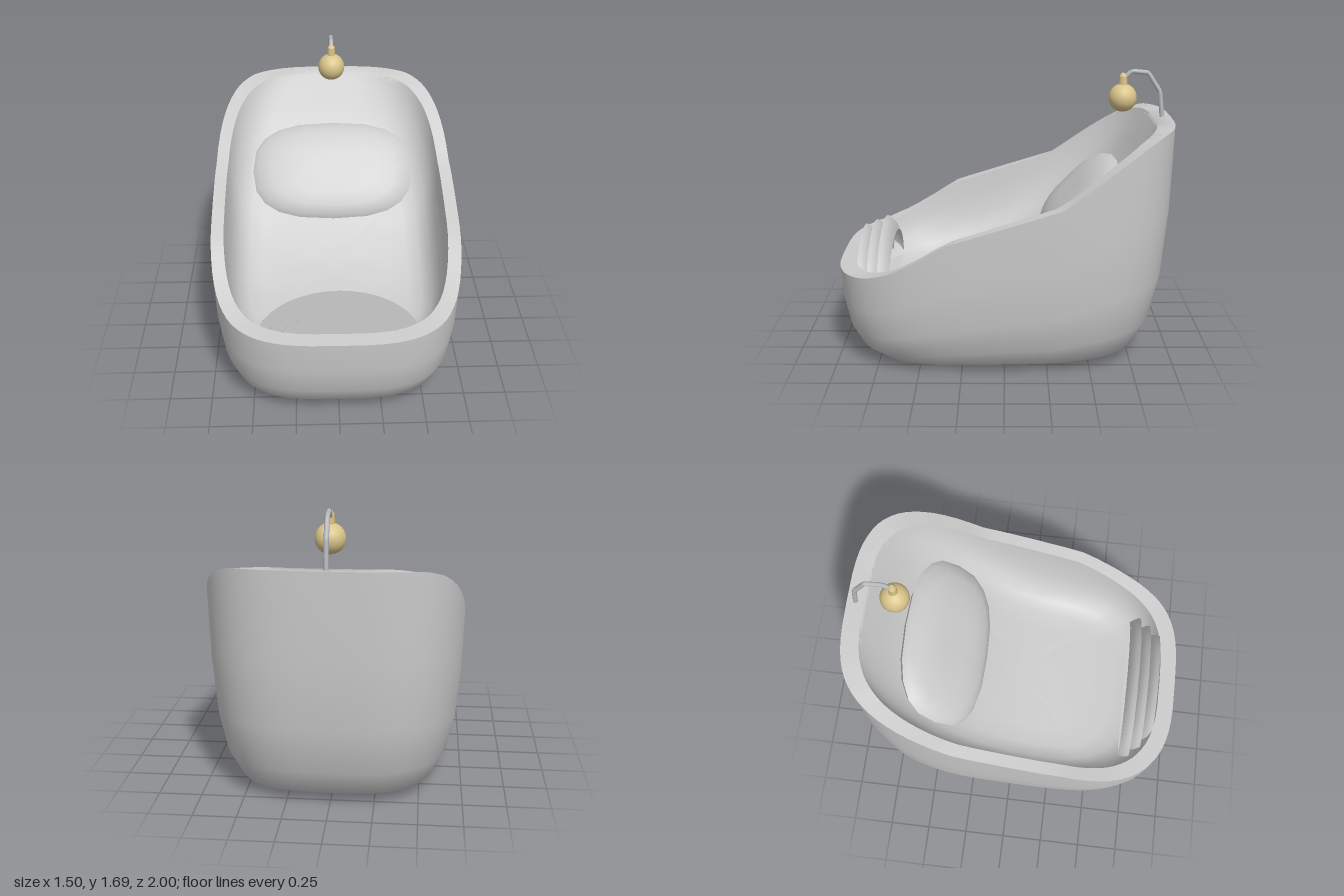
import * as THREE from 'three';
import { toCreasedNormals } from 'three/addons/utils/BufferGeometryUtils.js';

const V = (x, y, z) => new THREE.Vector3(x, y, z);

// Piecewise linear lookup through [key, value] pairs with rising keys
function lerpTable(table, k) {
  if (k <= table[0][0]) return table[0][1];
  for (let i = 1; i < table.length; i++) {
    const [k0, v0] = table[i - 1], [k1, v1] = table[i];
    if (k <= k1) return v0 + (v1 - v0) * (k - k0) / (k1 - k0);
  }
  return table[table.length - 1][1];
}

// Joins closed loops of points into one surface
function loft(rings, crease) {
  const n = rings[0].length, index = [];
  for (let i = 0; i < rings.length - 1; i++) {
    for (let j = 0; j < n; j++) {
      const k = (j + 1) % n;
      const a = i * n + j, b = i * n + k, c = a + n, d = b + n;
      index.push(a, c, b, b, c, d);
    }
  }
  const geo = new THREE.BufferGeometry().setFromPoints(rings.flat());
  geo.setIndex(index);
  return toCreasedNormals(geo, crease);
}

// Rounded rectangle outline in the ground plane
function superRing(rx, rz, n, power) {
  const bend = (v) => Math.sign(v) * Math.pow(Math.abs(v), 2 / power);
  return Array.from({ length: n }, (_, i) => {
    const a = (i / n) * Math.PI * 2;
    return V(rx * bend(Math.cos(a)), 0, rz * bend(Math.sin(a)));
  });
}

const RIM = [[-1, 1.41], [-0.9, 1.395], [-0.8, 1.35], [-0.65, 1.255], [-0.5, 1.15], [-0.33, 1.025],
  [0.33, 0.82], [0.5, 0.715], [0.65, 0.635], [0.8, 0.585], [0.9, 0.57], [1, 0.56]];
const BED = [[-0.9, 1.32], [-0.72, 1.08], [-0.45, 0.8], [-0.2, 0.59], [0, 0.47], [0.2, 0.395],
  [0.5, 0.345], [0.9, 0.34]];
// [outline scale, share of the rim height]
const WALL = [[0, 0], [0.5, 0.002], [0.68, 0.012], [0.8, 0.05], [0.89, 0.165], [0.95, 0.36],
  [0.985, 0.65], [1, 1]];
const INSIDE = [[1, 1], [0.985, 0.75], [0.95, 0.45], [0.89, 0.2], [0.8, 0.05], [0.68, 0],
  [0.5, 0], [0.33, 0], [0.16, 0], [0, 0]];

function tubGeometry() {
  const outer = superRing(0.75, 1, 80, 3.3);
  const inner = superRing(0.675, 0.9, 80, 3.3);
  const rings = WALL.map(([s, f]) => outer.map((p) => V(p.x * s, f * lerpTable(RIM, p.z), p.z * s)));
  for (const [s, f] of INSIDE) {
    rings.push(inner.map((p) => {
      const bed = lerpTable(BED, p.z * s), rim = lerpTable(RIM, p.z * 1.04);
      return V(p.x * s, bed + (rim - bed) * f, p.z * s);
    }));
  }
  return loft(rings, 1.0);
}

function pillowGeometry() {
  const profile = [[0, -0.07], [0.7, -0.07], [0.93, -0.045], [1, 0], [0.94, 0.03], [0.78, 0.058],
    [0.55, 0.076], [0.25, 0.084], [0, 0.074]];
  const outline = superRing(0.52, 0.33, 20, 2.7);
  return loft(profile.map(([s, y]) => outline.map((p) => V(p.x * s, y, p.z * s))), 0.9);
}

// Corrugated hood, open toward the head end: three ridges with upright fronts
function blanketGeometry() {
  const rings = [[0.88, 0, 0], [0.88, 0.3, 0.22], [0.88, 0.36, 0.28]];
  for (let i = 2; i >= 0; i--) {
    const z = 0.75 + i * 0.065, rx = 0.49 - i * 0.045, ry = 0.375 - i * 0.025;
    rings.push([z, rx, ry], [z - 0.02, rx * 0.99, ry - 0.015], [z - 0.045, rx * 0.97, ry - 0.045],
      [z - 0.065, rx * 0.94, ry - 0.1]);
  }
  const n = 40;
  return loft(rings.map(([z, rx, ry]) => Array.from({ length: n }, (_, i) => {
    const a = (i / n) * Math.PI * 2;
    return V(rx * Math.cos(a), ry * Math.max(0, Math.sin(a)), z);
  })), 0.75);
}

export function createModel() {
  const model = new THREE.Group();
  const material = (name, color) => {
    const m = new THREE.MeshStandardMaterial({ color });
    m.name = name;
    return m;
  };
  const pale = material('pale grey', 0xcccccc);
  pale.side = THREE.DoubleSide;
  const metal = material('metal grey', 0xb9bbbe);
  const brass = material('brass', 0xd9c48a);

  const add = (name, geo, mat, x = 0, y = 0, z = 0) => {
    const mesh = new THREE.Mesh(geo, mat);
    mesh.name = name;
    mesh.position.set(x, y, z);
    model.add(mesh);
    return mesh;
  };

  // Cradle body with its hollow
  add('cradleShell', tubGeometry(), pale);

  // Pillow leaning on the sloped back
  add('pillow', pillowGeometry(), pale, 0, 0.895, -0.455).rotation.x = Math.PI / 4;

  // Folded blanket at the foot, lower toward the front
  add('foldedBlanket', blanketGeometry(), pale, 0, 0.38, 0);

  // Bent arm over the head end
  const path = new THREE.CurvePath();
  const bends = [V(0, 1.36, -0.955), V(0, 1.42, -0.95), V(0, 1.555, -0.935), V(0, 1.67, -0.86),
    V(0, 1.68, -0.76), V(0, 1.63, -0.71)];
  for (let i = 1; i < bends.length; i++) path.add(new THREE.LineCurve3(bends[i - 1], bends[i]));
  add('hangingArm', new THREE.TubeGeometry(path, 24, 0.014, 8), metal);

  // Hanging bauble and its cap
  add('bauble', new THREE.SphereGeometry(0.085, 24, 16), brass, 0, 1.52, -0.71);
  add('baubleNeck', new THREE.CylinderGeometry(0.024, 0.027, 0.06, 10), brass, 0, 1.62, -0.71);
  add('baubleCap', new THREE.CylinderGeometry(0.012, 0.024, 0.018, 10), brass, 0, 1.659, -0.71);

  return model;
}
